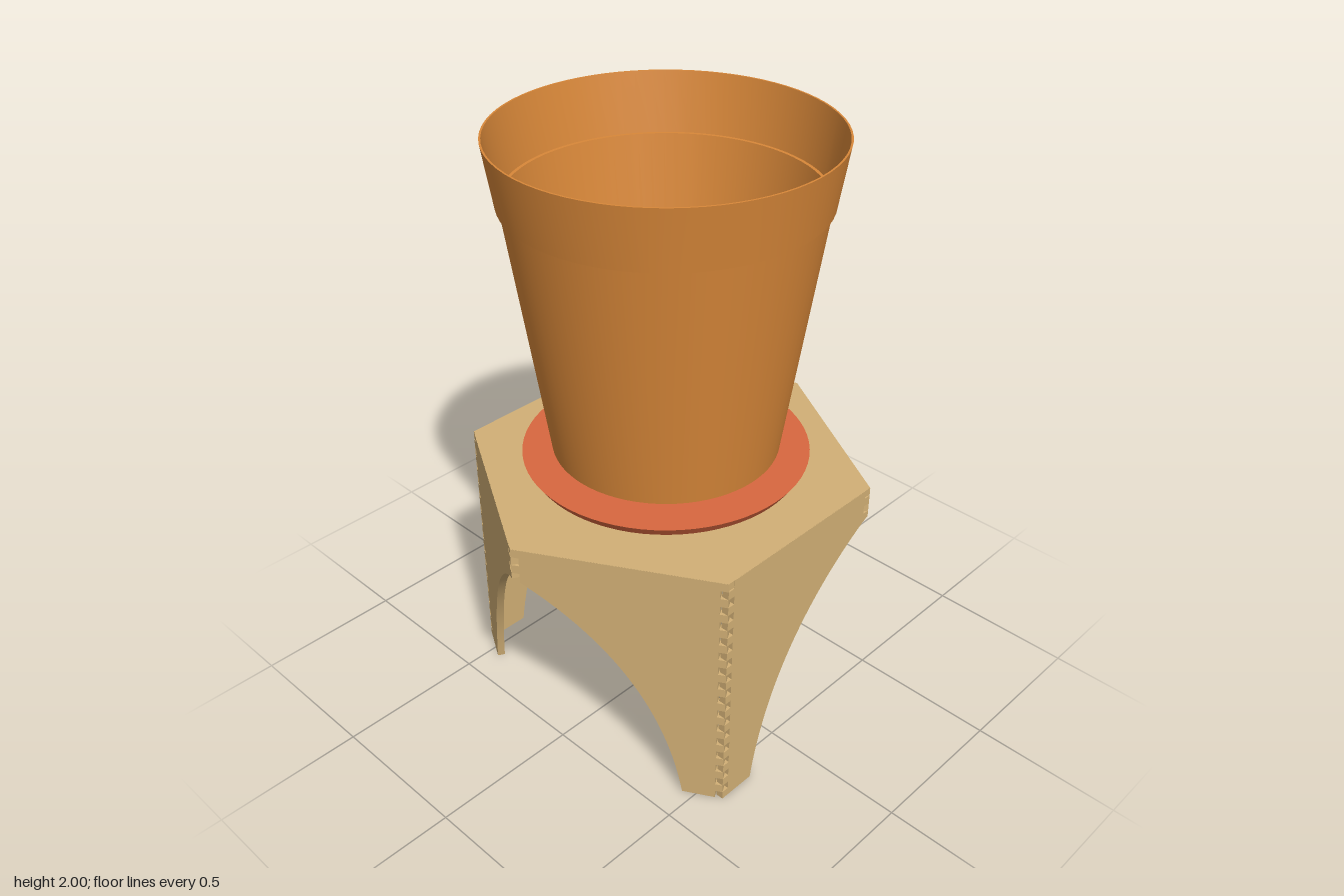
import * as THREE from 'three';
import { toCreasedNormals } from 'three/addons/utils/BufferGeometryUtils.js';

const SIDE = 0.664;                       // hexagon side and corner radius
const APOTHEM = SIDE * Math.sqrt(3) / 2;
const THICK = 0.025;                      // sheet thickness
const TOP = 0.885;
const PITCH = TOP / 30;                   // height of one joint finger

// Fingered vertical edge: points from y0 to y1, even or odd fingers reach the corner
function fingerEdge(edgeU, inward, y0, y1, parity) {
  const pts = [];
  for (let i = Math.floor(y0 / PITCH + 1e-6); i * PITCH < y1 - 1e-6; i++) {
    const u = edgeU + (i % 2 === parity ? 0 : inward * THICK);
    pts.push([u, Math.max(y0, i * PITCH)], [u, Math.min(y1, (i + 1) * PITCH)]);
  }
  return pts;
}

// Side panel: full-height leg edge at u = 0, arch sweeping up to the far corner
function sidePanelGeometry(dir, parity) {
  const h = TOP - 0.0005;
  const archTop = 0.775;
  const arch = new THREE.QuadraticBezierCurve(
    new THREE.Vector2(0.133, 0),
    new THREE.Vector2(0.214, 0.505),
    new THREE.Vector2(SIDE - THICK, archTop - 0.012)
  ).getPoints(32).map((p) => [p.x, p.y]);
  const outline = [
    ...arch,
    ...fingerEdge(SIDE, -1, archTop, h, parity),
    ...fingerEdge(0, 1, 0, h, parity).reverse(),
  ];
  const shape = new THREE.Shape(
    outline.map(([u, y]) => new THREE.Vector2(dir * (u - SIDE / 2), y))
  );
  const geo = new THREE.ExtrudeGeometry(shape, { depth: THICK, bevelEnabled: false });
  geo.translate(0, 0, APOTHEM - THICK);
  return toCreasedNormals(geo, 0.5);
}

export function createModel() {
  const wood = new THREE.MeshStandardMaterial({ name: 'plywood', color: 0xd2b076 });
  const clay = new THREE.MeshStandardMaterial({ name: 'potClay', color: 0xd98839 });
  const red = new THREE.MeshStandardMaterial({ name: 'saucerClay', color: 0xd9673f });

  const model = new THREE.Group();
  model.name = 'plantPotOnStand';
  const add = (parent, name, geo, mat) => {
    const mesh = new THREE.Mesh(geo, mat);
    mesh.name = name;
    parent.add(mesh);
    return mesh;
  };

  // Stand: six panels, mirrored in turn so that pairs meet as three legs
  const stand = new THREE.Group();
  stand.name = 'stand';
  model.add(stand);
  const panels = [sidePanelGeometry(1, 0), sidePanelGeometry(-1, 1)];
  for (let k = 0; k < 6; k++) {
    add(stand, 'sidePanel', panels[k % 2], wood).rotation.y = k * Math.PI / 3;
  }

  // Hexagonal top plate
  const plate = toCreasedNormals(
    new THREE.CylinderGeometry(SIDE - 0.001, SIDE - 0.001, THICK, 6), 0.5);
  plate.rotateY(Math.PI / 6);
  plate.translate(0, TOP - THICK / 2, 0);
  add(stand, 'topPlate', plate, wood);

  // Saucer with a tapered edge
  const saucer = new THREE.CylinderGeometry(0.462, 0.44, 0.033, 72);
  add(model, 'saucer', saucer, red).position.y = 0.928;

  // Pot: thin hollow wall with a stepped collar
  const profile = [
    [0, 0.97], [0.365, 0.97], [0.484, 1.803], [0.494, 1.803], [0.525, 2],
    [0.519, 2], [0.488, 1.81], [0.477, 1.81], [0.358, 0.978], [0, 0.978],
  ].map(([x, y]) => new THREE.Vector2(x, y));
  add(model, 'pot', toCreasedNormals(new THREE.LatheGeometry(profile, 72), 0.6), clay);

  return model;
}
